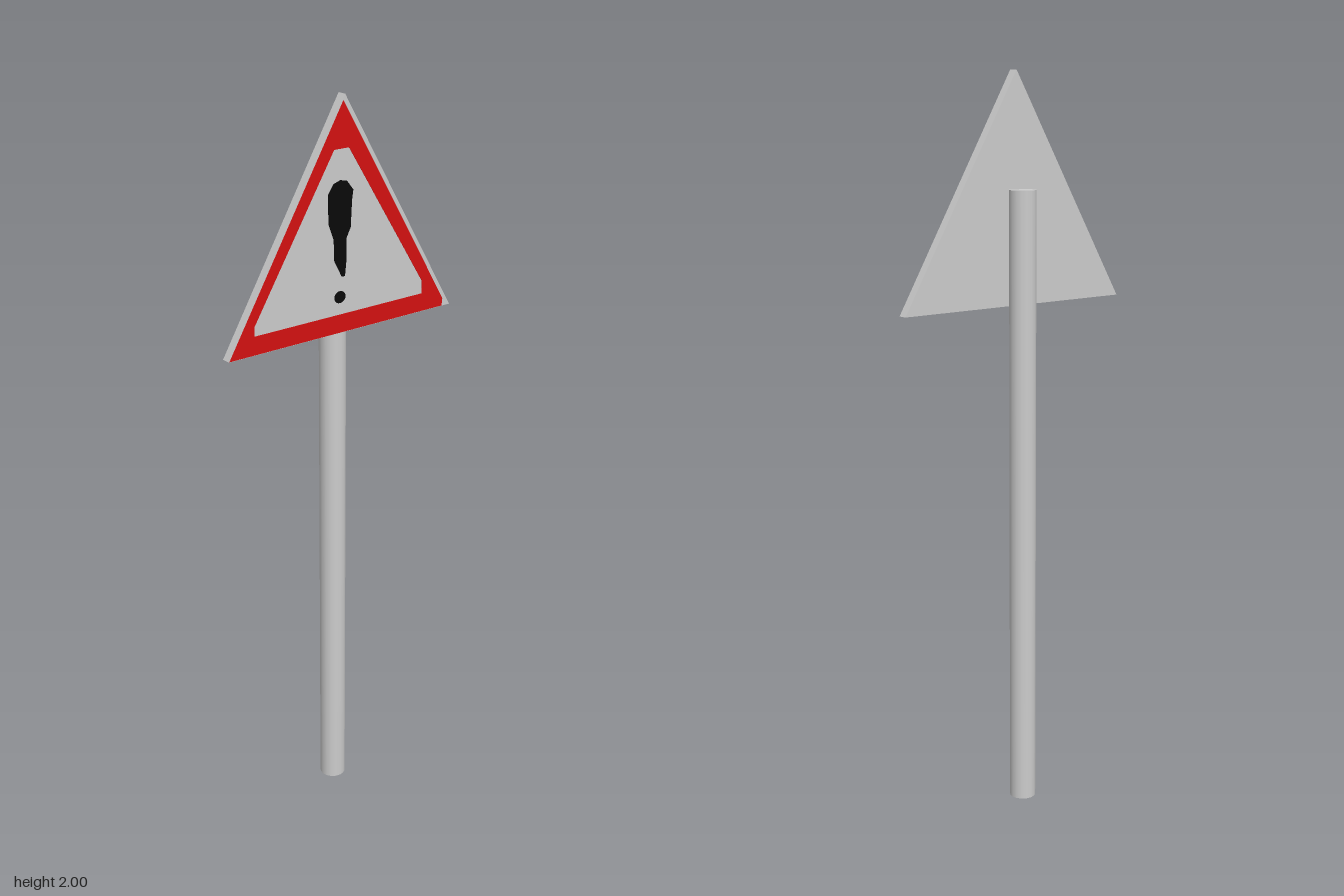
import * as THREE from 'three';

const mat = (name, color) => {
  const m = new THREE.MeshStandardMaterial({ color });
  m.name = name;
  return m;
};

const shapeOf = (pts) => new THREE.Shape(pts.map(([u, y]) => new THREE.Vector2(u, y)));

export function createModel() {
  const group = new THREE.Group();
  const grey = mat('galvanised grey', 0xcccccc);
  const red = mat('warning red', 0xd41111);
  const black = mat('symbol black', 0x0a0a0a);

  const add = (name, geometry, material) => {
    const mesh = new THREE.Mesh(geometry, material);
    mesh.name = name;
    group.add(mesh);
    return mesh;
  };

  // Sign parts are drawn in (u, y) and turned so that they face +x
  const plate = (name, shape, x, depth, material) => {
    const geo = new THREE.ExtrudeGeometry(shape, { depth, bevelEnabled: false, curveSegments: 10 });
    geo.rotateY(Math.PI / 2);
    add(name, geo, material).position.x = x;
  };

  // Round pole
  add('pole', new THREE.CylinderGeometry(0.036, 0.036, 1.695, 16), grey)
    .position.set(-0.009, 0.8475, 0);

  // Triangular board
  plate('signBoard', shapeOf([[-0.363, 1.39], [0.363, 1.39], [0, 2]]), 0.016, 0.026, grey);

  // Red border, set slightly to one side of the board
  const border = shapeOf([[-0.362, 1.391], [0.335, 1.391], [0.337, 1.412], [0.018, 1.945], [-0.006, 1.985]]);
  border.holes.push(shapeOf([
    [-0.285, 1.44], [-0.285, 1.465], [-0.035, 1.868], [0.012, 1.868], [0.262, 1.475], [0.262, 1.44],
  ]));
  plate('redBorder', border, 0.042, 0.001, red);

  // Exclamation mark: tapered stroke and dot
  plate('markStroke', shapeOf([
    [-0.01, 1.54], [-0.034, 1.585], [-0.036, 1.64], [-0.053, 1.685], [-0.053, 1.76], [-0.037, 1.783],
    [-0.015, 1.79], [0.006, 1.785], [0.026, 1.76], [0.022, 1.735], [0.018, 1.665], [0.005, 1.64],
    [0.005, 1.585], [0, 1.54],
  ]), 0.042, 0.0012, black);
  const dot = new THREE.Shape();
  dot.absellipse(-0.016, 1.487, 0.018, 0.016, 0, Math.PI * 2);
  plate('markDot', dot, 0.042, 0.0012, black);

  return group;
}
